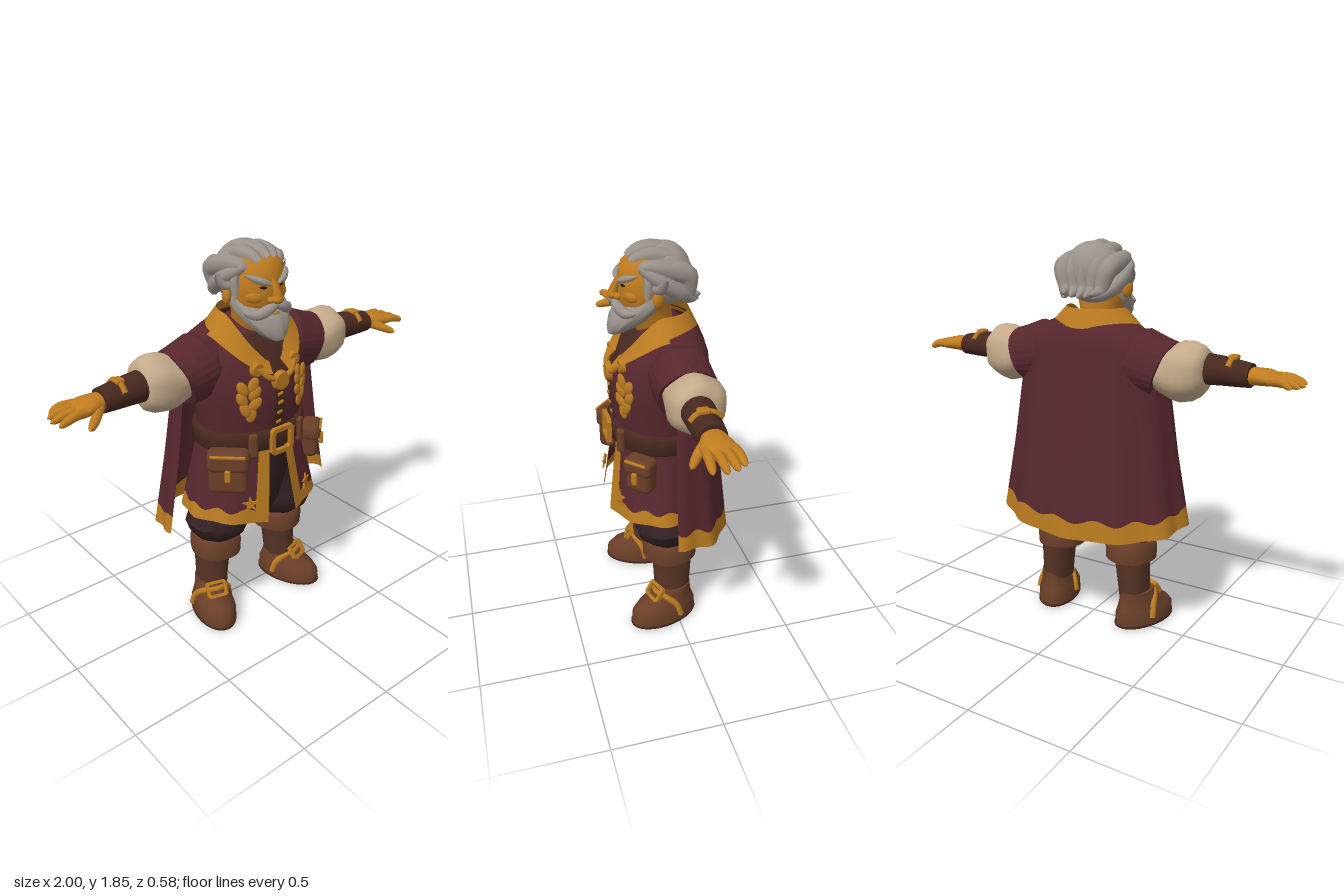
import * as THREE from 'three';
import { toCreasedNormals } from 'three/addons/utils/BufferGeometryUtils.js';
import { RoundedBoxGeometry } from 'three/addons/geometries/RoundedBoxGeometry.js';

const mat = (name, color, side = THREE.FrontSide) => {
  const m = new THREE.MeshStandardMaterial({ color, side });
  m.name = name;
  return m;
};
const lerp = THREE.MathUtils.lerp;
const V = (p) => new THREE.Vector3(...p);

// Indexed grid from a point function; wrap closes it in u, caps close it in v.
function grid(f, nu, nv, wrap = false) {
  const pos = [], idx = [], w = wrap ? nu : nu + 1;
  for (let j = 0; j <= nv; j++) for (let i = 0; i < w; i++) pos.push(...f(i / nu, j / nv));
  for (let j = 0; j < nv; j++) for (let i = 0; i < nu; i++) {
    const a = j * w + i, b = j * w + (i + 1) % w;
    idx.push(a, b, b + w, a, b + w, a + w);
  }
  if (wrap) for (const j of [0, nv]) {
    const c = [0, 0, 0], n = pos.length / 3;
    for (let i = 0; i < w; i++) for (let k = 0; k < 3; k++) c[k] += pos[(j * w + i) * 3 + k] / w;
    pos.push(...c);
    for (let i = 0; i < w; i++) {
      const a = j * w + i, b = j * w + (i + 1) % w;
      idx.push(n, ...(j ? [a, b] : [b, a]));
    }
  }
  const g = new THREE.BufferGeometry();
  g.setAttribute('position', new THREE.Float32BufferAttribute(pos, 3));
  g.setIndex(idx);
  g.computeVertexNormals();
  return g;
}
// Stack of ellipses [y, cx, cz, rx, rz], bottom to top, with optional lobes.
function loft(rings, wob = 0, lobes = 7, seg = 28) {
  const n = rings.length - 1;
  const g = grid((u, v) => {
    const [y, cx, cz, rx, rz] = rings[Math.round(v * n)], a = u * Math.PI * 2;
    const k = 1 + wob * Math.sin(a * lobes + y * 9);
    return [cx + rx * k * Math.sin(a), y, cz + rz * k * Math.cos(a)];
  }, seg, n, true);
  return toCreasedNormals(g, 0.9);
}
// Same along +x: rings [x, cy, cz, ry, rz].
const armLoft = (rings, wob, lobes) =>
  loft(rings.map(([x, cy, cz, ry, rz]) => [x, -cy, cz, ry, rz]), wob, lobes).rotateZ(-Math.PI / 2);

const lockTaper = (t) => Math.max(0.03, Math.sin(Math.PI * Math.min(1, t * 0.93 + 0.07)) ** 0.6);
const fingerTaper = (t) => Math.max(0.03, Math.sqrt(1 - t ** 6) * (1 - 0.2 * t));
// Tapered tube through points.
function strand(points, r, taper = lockTaper, n = 14) {
  const c = new THREE.CatmullRomCurve3(points.map(V));
  const g = new THREE.TubeGeometry(c, n, r, 8);
  const p = g.attributes.position, v = new THREE.Vector3();
  for (let i = 0; i < p.count; i++) {
    const t = Math.floor(i / 9) / n, o = c.getPointAt(t);
    v.fromBufferAttribute(p, i).sub(o).multiplyScalar(taper(t)).add(o);
    p.setXYZ(i, v.x, v.y, v.z);
  }
  return g;
}
const put = (g, pos, rot = [0, 0, 0], s = [1, 1, 1]) =>
  g.applyMatrix4(new THREE.Matrix4().compose(V(pos), new THREE.Quaternion().setFromEuler(new THREE.Euler(...rot)), V(s)));
const ball = (pos, s, rot) => put(new THREE.SphereGeometry(1, 18, 12), pos, rot, s);
const box = (w, h, d, pos, rot, r = 0.015) => put(new RoundedBoxGeometry(w, h, d, 2, r), pos, rot);
const plate = (pts, depth, holes = []) => {
  const s = new THREE.Shape(pts.map(([x, y]) => new THREE.Vector2(x, y)));
  holes.forEach((h) => s.holes.push(new THREE.Path(h.map(([x, y]) => new THREE.Vector2(x, y)))));
  return new THREE.ExtrudeGeometry(s, { depth, bevelEnabled: false });
};
const octo = (w, h, c) => [[-w + c, -h], [w - c, -h], [w, -h + c], [w, h - c], [w - c, h], [-w + c, h], [-w, h - c], [-w, -h + c]];
const buckle = (w, h, t, pos, rot) => put(plate(octo(w, h, t * 0.7), 0.02, [octo(w - t, h - t, t * 0.3)]), pos, rot);

// Mirrored copy across x = 0 with the winding restored.
function mirror(g) {
  const m = g.clone().scale(-1, 1, 1);
  const src = g.index ? Array.from(g.index.array) : Array.from({ length: g.attributes.position.count }, (_, i) => i);
  for (let i = 0; i < src.length; i += 3) [src[i + 1], src[i + 2]] = [src[i + 2], src[i + 1]];
  m.setIndex(src);
  return m;
}

const TORSO = [[0.94, 0, 0.03, 0.26, 0.2], [1.05, 0, 0.03, 0.265, 0.205], [1.15, 0, 0.04, 0.275, 0.21], [1.27, 0, 0.035, 0.29, 0.205],
  [1.38, 0, 0.02, 0.28, 0.17], [1.45, 0, 0.005, 0.21, 0.13], [1.51, 0, 0.01, 0.1, 0.08]];
function rowAt(rows, y) {
  let i = 0;
  const up = rows[1][0] > rows[0][0] ? 1 : -1;
  while (i < rows.length - 2 && (y - rows[i + 1][0]) * up > 0) i++;
  const t = (y - rows[i][0]) / (rows[i + 1][0] - rows[i][0]);
  return rows[i].map((a, k) => lerp(a, rows[i + 1][k], t));
}
const chestZ = (x, y) => {
  const [, , cz, rx, rz] = rowAt(TORSO, y);
  return cz + rz * Math.sqrt(Math.max(0, 1 - (x / rx) ** 2));
};

// Coat skirt half: u from front edge round to the back, v from waist to hem.
function skirt(u, v) {
  const a = lerp(lerp(0.16, 0.24, v), Math.PI, u), k = 1 + 0.02 * v * Math.sin(a * 10);
  return [lerp(0.262, 0.36, v) * k * Math.sin(a), lerp(0.97, 0.565 + 0.045 * Math.sin(a), v), lerp(0.03, 0.04, v) + lerp(0.205, 0.25, v) * k * Math.cos(a)];
}
// Cape: u from right edge round the back to left edge, v from neck to hem.
const CAPE = [[1.5, 0.17, 0.13], [1.465, 0.25, 0.155], [1.41, 0.385, 0.175], [1.2, 0.385, 0.205], [0.9, 0.425, 0.245], [0.56, 0.485, 0.285]];
function cape(u, v) {
  const a = lerp(1.77, -1.77, u), y = lerp(1.5, 0.56, v), [, rx, rz] = rowAt(CAPE, y);
  const k = 1 + 0.025 * v * Math.cos(a * 11);
  return [rx * k * Math.sin(a), y - 0.055 * v * v * Math.max(0, Math.cos(a)), -rz * k * Math.cos(a)];
}

export function createModel() {
  const model = new THREE.Group();
  const D = THREE.DoubleSide;
  const maroon = mat('maroon cloth', 0x56272d, D), gold = mat('gold trim', 0xb97a20, D), skin = mat('skin', 0xc07c20);
  const hair = mat('grey hair', 0x9c938c), cream = mat('cream linen', 0xc4aa8a), leather = mat('brown leather', 0x6a3f28);
  const dark = mat('dark leather', 0x47281f, D), pants = mat('dark trousers', 0x332022), black = mat('dark eyes', 0x1e1412);
  const bootHide = mat('boot leather', 0x563324);
  const add = (name, g, m) => {
    const mesh = new THREE.Mesh(g, m);
    mesh.name = name;
    model.add(mesh);
  };
  const both = (name, g, m) => { add(name + 'Left', g, m); add(name + 'Right', mirror(g), m); };

  // Coat body, shoulder caps and skirt with trimmed edges
  add('coatBody', loft(TORSO), maroon);
  const cap = armLoft([[0.16, 1.34, -0.01, 0.11, 0.11], [0.27, 1.32, -0.01, 0.15, 0.14], [0.37, 1.3, -0.01, 0.135, 0.138], [0.43, 1.29, -0.01, 0.128, 0.135]], 0.015, 6);
  const cp = cap.attributes.position;
  for (let i = 0; i < cp.count; i++) cp.setX(i, cp.getX(i) - (1.42 - cp.getY(i)) * 0.38);
  cap.computeVertexNormals();
  both('shoulderCap', cap, maroon);
  const hemTop = (u) => 0.84 + 0.03 * Math.sin(u * 40);
  both('coatSkirt', grid((u, v) => skirt(lerp(0.07, 1, u), v * hemTop(lerp(0.07, 1, u))), 40, 8), maroon);
  both('coatHem', grid((u, v) => { const s = lerp(0.07, 1, u); return skirt(s, lerp(hemTop(s), 1, v)); }, 40, 2), gold);
  both('coatFrontEdge', grid((u, v) => skirt(u * 0.07, v), 2, 10), gold);
  const star = Array.from({ length: 10 }, (_, i) => {
    const r = i % 2 ? 0.016 : 0.042, a = i * Math.PI / 5 + Math.PI / 2;
    return [r * Math.cos(a), r * Math.sin(a)];
  });
  both('hemStar', put(plate(star, 0.008), [0.17, 0.69, 0.252], [-0.08, 0.45, 0]), gold);

  // Cape with wavy gold border
  const capeTop = (u) => 0.915 + 0.012 * Math.sin(u * 50);
  add('cape', grid((u, v) => cape(u, v * capeTop(u)), 66, 24), maroon);
  add('capeHem', grid((u, v) => cape(u, lerp(capeTop(u), 1, v)), 66, 3), gold);

  // Collar dropping to a V in front
  add('collar', grid((u, v) => {
    const a = lerp(0.2, Math.PI * 2 - 0.2, u), c = Math.cos(a), f = Math.max(0, c) ** 1.6;
    return [lerp(0.145, 0.23, v) * Math.sin(a), lerp(1.55, 1.465, v) - f * lerp(0.2, 0.165, v), 0.03 + c * lerp(c > 0 ? 0.175 : 0.145, c > 0 ? 0.23 : 0.185, v)];
  }, 44, 3), gold);
  // Shirt strip, buttons, brooches and chain
  add('shirtFront', grid((u, v) => {
    const y = lerp(0.97, 1.46, v), x = (u - 0.5) * (y > 1.27 ? 0.06 + (y - 1.27) * 0.9 : 0.06);
    return [x, y, chestZ(x, y) + 0.006];
  }, 6, 14), dark);
  for (const y of [1.06, 1.11, 1.16, 1.2]) add('lacing', box(0.03, 0.014, 0.01, [0, y, chestZ(0, y) + 0.008], [0, 0, 0.2], 0.004), gold);
  const disc = (r, x, y) => put(new THREE.CylinderGeometry(r * 0.85, r, 0.025, 18), [x, y, chestZ(x, y) + 0.016], [Math.PI / 2, 0, 0]);
  add('medallion', disc(0.046, 0, 1.265), gold);
  both('brooch', disc(0.034, 0.105, 1.33), gold);
  both('chain', strand([[0.1, 1.33, 0.225], [0.06, 1.29, 0.25], [0, 1.27, 0.253]], 0.013, () => 1), gold);
  // Leaf embroidery
  const leaf = [[0.13, 1.265, 0.3], [0.175, 1.25, -0.5], [0.125, 1.225, 0.6], [0.178, 1.2, -0.5], [0.125, 1.175, 0.7], [0.165, 1.15, -0.5], [0.14, 1.125, 0.2]];
  for (const [x, y, r] of leaf) both('leaf', ball([x, y, chestZ(x, y) + 0.003], [0.024, 0.038, 0.012], [0, 0.5, r]), gold);

  // Belt, buckle and pouches
  add('belt', loft([[0.935, 0, 0.03, 0.275, 0.222], [0.945, 0, 0.03, 0.285, 0.232], [1.02, 0, 0.03, 0.283, 0.23], [1.03, 0, 0.03, 0.27, 0.22]]), dark);
  add('beltBuckle', buckle(0.065, 0.066, 0.021, [0, 0.98, 0.26]), gold);
  both('beltLoop', box(0.045, 0.12, 0.03, [0.14, 0.975, 0.235], [0, 0.5, 0]), leather);
  const pouch = (side, w, h, x, y, z) => {
    const ry = side * 0.75, n = [Math.sin(ry), Math.cos(ry)], off = (d, dy) => [x + n[0] * d, y + dy, z + n[1] * d];
    add('pouch', box(w, h, 0.09, [x, y, z], [0, ry, 0], 0.03), leather);
    add('pouchFlap', box(w + 0.014, h * 0.48, 0.1, off(0.006, h * 0.27), [0, ry, 0], 0.03), leather);
    add('pouchClasp', box(0.028, 0.06, 0.02, off(0.058, 0), [0, ry, 0], 0.008), gold);
    add('pouchRim', box(w - 0.02, 0.014, 0.012, off(0.053, h * 0.44), [0, ry, 0], 0.005), gold);
  };
  pouch(-1, 0.18, 0.21, -0.243, 0.865, 0.185);
  pouch(1, 0.13, 0.17, 0.268, 0.865, 0.172);

  // Trousers
  add('trouserSeat', loft([[0.485, 0, 0.02, 0.06, 0.08], [0.52, 0, 0.03, 0.12, 0.12], [0.58, 0, 0.03, 0.17, 0.14], [0.75, 0, 0.03, 0.23, 0.17], [0.95, 0, 0.03, 0.24, 0.18]]), pants);
  both('trouserLeg', loft([[0.43, 0.2, 0.02, 0.09, 0.1], [0.48, 0.2, 0.04, 0.135, 0.135], [0.54, 0.2, 0.045, 0.16, 0.15], [0.59, 0.185, 0.035, 0.142, 0.14], [0.64, 0.17, 0.03, 0.135, 0.135], [0.8, 0.13, 0.03, 0.11, 0.13]], 0.025, 8), pants);

  // Boots, toes turned out
  const boot = (name, g, m) => both(name, put(g, [0.232, 0, -0.002], [0, 0.3, 0]), m);
  boot('bootSole', loft([[0, 0, 0.07, 0.09, 0.165], [0.008, 0, 0.07, 0.102, 0.178], [0.018, 0, 0.07, 0.102, 0.178]]), dark);
  boot('bootFoot', loft([[0.016, 0, 0.07, 0.098, 0.174], [0.06, 0, 0.07, 0.1, 0.173], [0.095, 0, 0.062, 0.09, 0.152], [0.125, 0, 0.035, 0.078, 0.115], [0.18, 0, 0.015, 0.072, 0.09]]), leather);
  both('bootShaft', loft([[0.15, 0.225, 0.015, 0.072, 0.088], [0.22, 0.22, 0.012, 0.075, 0.09], [0.3, 0.215, 0.01, 0.08, 0.095], [0.38, 0.205, 0.015, 0.088, 0.1]], 0.015, 5), bootHide);
  both('bootCuff', loft([[0.335, 0.2, 0.02, 0.1, 0.11], [0.345, 0.2, 0.02, 0.12, 0.128], [0.4, 0.2, 0.02, 0.122, 0.13], [0.45, 0.2, 0.02, 0.108, 0.118], [0.46, 0.2, 0.02, 0.09, 0.1]], 0.02, 4), leather);
  boot('bootStrap', strand([[-0.098, 0.05, 0.03], [-0.086, 0.105, 0.045], [-0.055, 0.15, 0.085], [0, 0.16, 0.11], [0.055, 0.15, 0.085], [0.086, 0.105, 0.045], [0.098, 0.05, 0.03]], 0.016, () => 1), gold);
  boot('bootBuckle', buckle(0.052, 0.04, 0.014, [0, 0.16, 0.11], [-0.6, 0, 0]), gold);

  // Arms: puffed sleeve, bracer, strap
  both('sleeve', armLoft([[0.3, 1.305, -0.01, 0.09, 0.1], [0.38, 1.295, -0.01, 0.108, 0.115], [0.425, 1.29, -0.01, 0.122, 0.122], [0.465, 1.295, -0.01, 0.134, 0.128], [0.51, 1.3, -0.01, 0.13, 0.125], [0.55, 1.305, -0.005, 0.112, 0.11], [0.572, 1.31, 0, 0.088, 0.09], [0.577, 1.31, 0, 0.06, 0.06]], 0.035, 6), cream);
  both('bracer', armLoft([[0.55, 1.315, 0.01, 0.07, 0.072], [0.64, 1.313, 0.013, 0.064, 0.07], [0.72, 1.308, 0.015, 0.057, 0.066], [0.77, 1.305, 0.015, 0.052, 0.062]]), dark);
  both('bracerStrap', strand([[0.683, 1.34, -0.048], [0.683, 1.365, -0.015], [0.683, 1.371, 0.02], [0.683, 1.36, 0.055], [0.683, 1.335, 0.078]], 0.013, () => 1), gold);
  both('bracerBuckle', box(0.042, 0.02, 0.05, [0.683, 1.375, 0.025], [0, 0, 0], 0.008), gold);
  // Hands
  both('palm', armLoft([[0.75, 1.303, 0.015, 0.035, 0.045], [0.79, 1.305, 0.015, 0.038, 0.055], [0.84, 1.305, 0.02, 0.036, 0.07], [0.88, 1.3, 0.02, 0.028, 0.07], [0.9, 1.298, 0.02, 0.018, 0.06]]), skin);
  [[-0.035, 0.965, -0.05], [0.002, 0.99, -0.015], [0.038, 1, 0.03], [0.07, 0.99, 0.085]].forEach(([z, x, z2]) =>
    both('finger', strand([[0.86, 1.302, z], [0.92, 1.302, lerp(z, z2, 0.5)], [x, 1.28, z2]], 0.022, fingerTaper, 10), skin));
  both('thumb', strand([[0.79, 1.295, 0.05], [0.835, 1.275, 0.095], [0.885, 1.25, 0.135]], 0.024, fingerTaper, 10), skin);

  // Head and face
  add('head', loft([[1.42, 0, 0.03, 0.09, 0.08], [1.53, 0, 0.06, 0.095, 0.1], [1.58, 0, 0.08, 0.118, 0.115], [1.64, 0, 0.08, 0.13, 0.122], [1.7, 0, 0.075, 0.13, 0.122], [1.76, 0, 0.07, 0.118, 0.115], [1.8, 0, 0.06, 0.09, 0.085], [1.82, 0, 0.05, 0.04, 0.04]]), skin);
  add('nose', strand([[0, 1.71, 0.19], [0, 1.665, 0.212], [0, 1.628, 0.225]], 0.024, (t) => 0.45 + 0.55 * t), skin);
  add('noseTip', ball([0, 1.627, 0.222], [0.027, 0.022, 0.025]), skin);
  both('nostril', ball([0.022, 1.622, 0.205], [0.016, 0.014, 0.018]), skin);
  both('cheek', ball([0.065, 1.635, 0.155], [0.05, 0.035, 0.03], [0, 0.5, 0]), skin);
  both('ear', ball([0.143, 1.632, 0.055], [0.02, 0.042, 0.028], [0, 0.4, 0]), skin);
  both('eye', ball([0.05, 1.677, 0.187], [0.017, 0.007, 0.005], [0, 0.4, 0.1]), black);
  both('eyebrow', strand([[0.018, 1.688, 0.204], [0.06, 1.706, 0.192], [0.118, 1.732, 0.14]], 0.015), hair);

  // Beard and moustache
  add('beard', loft([[1.45, 0, 0.222, 0.03, 0.028], [1.475, 0, 0.196, 0.07, 0.056], [1.52, 0, 0.155, 0.108, 0.087], [1.565, 0, 0.113, 0.13, 0.102], [1.6, 0, 0.08, 0.135, 0.088], [1.635, 0, 0.07, 0.134, 0.05]], 0.025, 11, 44), hair);
  both('moustache', strand([[-0.005, 1.6, 0.212], [0.04, 1.588, 0.216], [0.085, 1.563, 0.188], [0.128, 1.572, 0.15]], 0.025), hair);
  add('lip', ball([0, 1.563, 0.21], [0.026, 0.009, 0.01]), skin);

  // Hair: shell and broad swept-back locks gathering behind
  add('hairShell', ball([0, 1.7, 0.002], [0.146, 0.143, 0.125], [-0.25, 0, 0]), hair);
  for (let i = -2; i <= 2; i++) {
    const x = i * 0.05, d = i * i * 0.011;
    add('hairLock', strand([[x * 0.8, 1.785 - d, 0.162 - d], [x * 1.05, 1.808 - d, 0.1], [x * 1.2, 1.795 - d, 0], [x * 1.15, 1.72, -0.08], [x * 0.9, 1.63, -0.1], [x * 0.7, 1.6 + d * 0.4, -0.155]], 0.046, lockTaper, 20), hair);
  }
  both('sideLock', strand([[0.105, 1.76, 0.125], [0.14, 1.72, 0.06], [0.135, 1.66, -0.03], [0.1, 1.615, -0.09], [0.075, 1.6, -0.145]], 0.037), hair);
  both('sideTuft', strand([[0.11, 1.68, 0.08], [0.15, 1.685, 0.05], [0.18, 1.725, 0.03]], 0.03), hair);
  both('sideburn', strand([[0.115, 1.75, 0.1], [0.13, 1.7, 0.095], [0.128, 1.62, 0.1]], 0.022), hair);
  return model;
}
